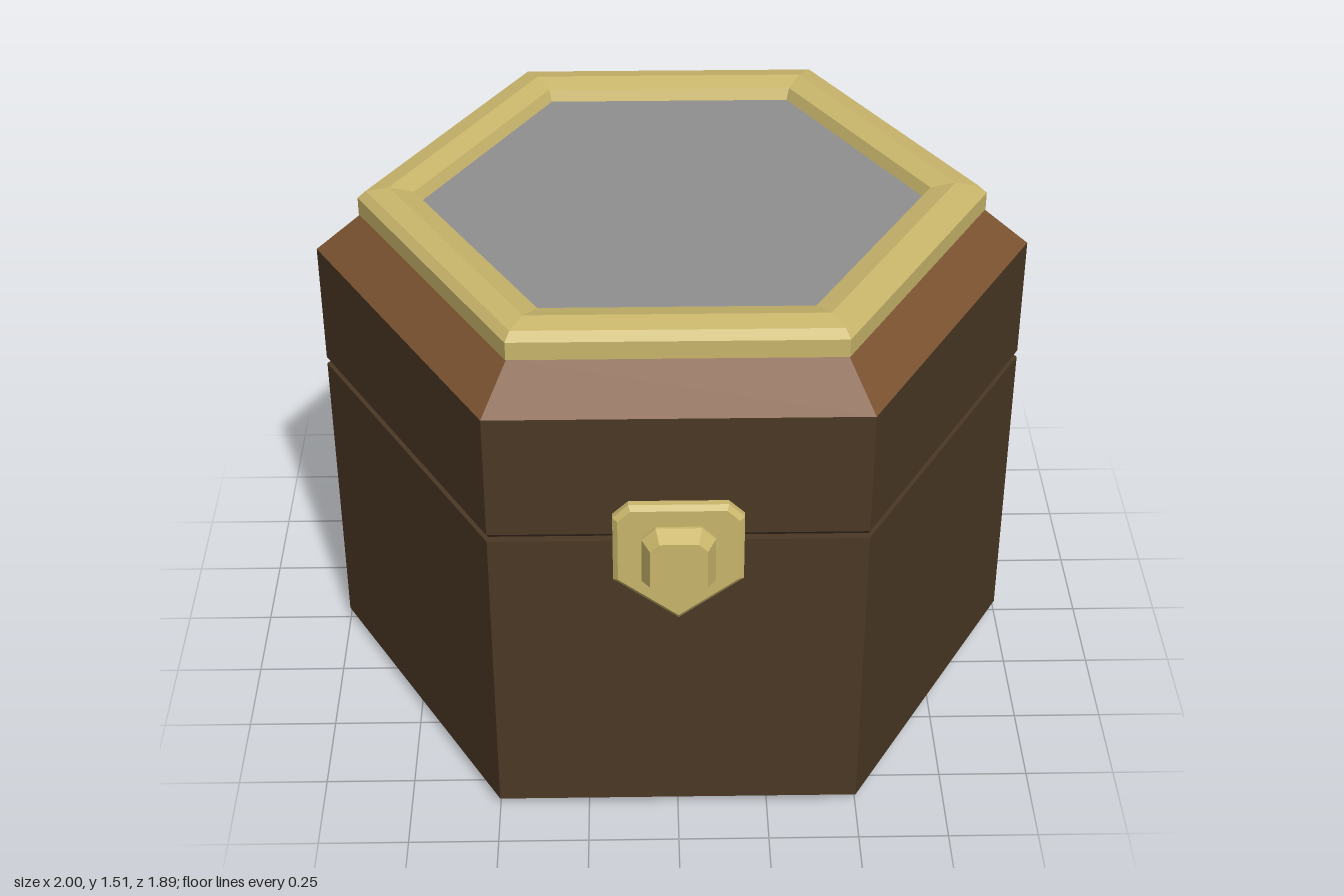
import * as THREE from 'three';

const darkWood = new THREE.MeshStandardMaterial({ name: 'dark wood', color: 0x4b3825 });
const warmWood = new THREE.MeshStandardMaterial({ name: 'warm wood', color: 0x7c5331 });
const brass = new THREE.MeshStandardMaterial({ name: 'brass', color: 0xcab76c });
const glass = new THREE.MeshStandardMaterial({ name: 'grey glass', color: 0x909090 });

function flat(geometry) {
  const g = geometry.index ? geometry.toNonIndexed() : geometry;
  g.computeVertexNormals();
  return g;
}

function add(group, name, geometry, material) {
  const mesh = new THREE.Mesh(flat(geometry), material);
  mesh.name = name;
  group.add(mesh);
  return mesh;
}

// Six-sided ring swept from [corner radius, height] pairs, bottom to top
function hexRing(profile) {
  const points = profile.map(([r, y]) => new THREE.Vector2(r, y));
  return new THREE.LatheGeometry(points, 6, Math.PI / 6);
}

// Plate facing +z whose front edge is bevelled inward, from z = back to z = front
function bevelledPlate(outline, back, front, bevelSize, bevelDepth) {
  const shape = new THREE.Shape(outline.map(([x, y]) => new THREE.Vector2(x, y)));
  const g = new THREE.ExtrudeGeometry(shape, {
    depth: front - back - 2 * bevelDepth,
    bevelEnabled: true,
    bevelSegments: 1,
    bevelSize,
    bevelThickness: bevelDepth,
    bevelOffset: -bevelSize,
  });
  return g.translate(0, 0, back + bevelDepth);
}

export function createModel() {
  const box = new THREE.Group();
  box.name = 'hexagonalBox';

  // Base
  add(box, 'baseBottom', hexRing([[0, 0], [0.955, 0]]), darkWood);
  add(box, 'baseBevel', hexRing([[0.955, 0], [1, 0.035]]), warmWood);
  add(box, 'baseBody', hexRing([[1, 0.035], [1, 0.938], [0, 0.938]]), darkWood);

  // Lid
  add(box, 'lidBody', hexRing([[0, 0.948], [0.99, 0.948], [1, 0.96], [1, 1.32]]), darkWood);
  add(box, 'lidSlope', hexRing([[1, 1.32], [0.87, 1.43], [0, 1.43]]), warmWood);

  // Rounded brass frame around the glass
  add(box, 'lidFrame', hexRing([
    [0.874, 1.43], [0.874, 1.482], [0.85, 1.504], [0.785, 1.515],
    [0.716, 1.5], [0.699, 1.465],
  ]), brass);
  add(box, 'lidGlass', hexRing([[0.7, 1.468], [0, 1.468]]), glass);

  // Latch on the front
  const latch = new THREE.Group();
  latch.name = 'latch';
  box.add(latch);
  add(latch, 'latchPlate', bevelledPlate([
    [0, 0.695], [0.172, 0.825], [0.172, 1.025], [0.13, 1.065],
    [-0.13, 1.065], [-0.172, 1.025], [-0.172, 0.825],
  ], 0.845, 0.896, 0.013, 0.012), brass);
  add(latch, 'latchKnob', bevelledPlate([
    [-0.06, 0.797], [0.06, 0.797], [0.097, 0.833], [0.097, 0.967],
    [0.06, 1.003], [-0.06, 1.003], [-0.097, 0.967], [-0.097, 0.833],
  ], 0.84, 0.945, 0.022, 0.042), brass);

  // Hinge on the back: a plate and three barrel segments
  const hinge = new THREE.Group();
  hinge.name = 'hinge';
  box.add(hinge);
  add(hinge, 'hingePlate', new THREE.BoxGeometry(0.65, 0.25, 0.023), brass)
    .position.set(0, 0.95, -0.8745);
  for (let i = -1; i <= 1; i++) {
    const barrel = new THREE.CylinderGeometry(0.05, 0.05, 0.21, 6).rotateZ(Math.PI / 2);
    // Turn so that a ridge points straight up
    barrel.rotateX(Math.PI / 2);
    add(hinge, 'hingeBarrel', barrel, brass).position.set(i * 0.22, 0.942, -0.905);
  }
  return box;
}
